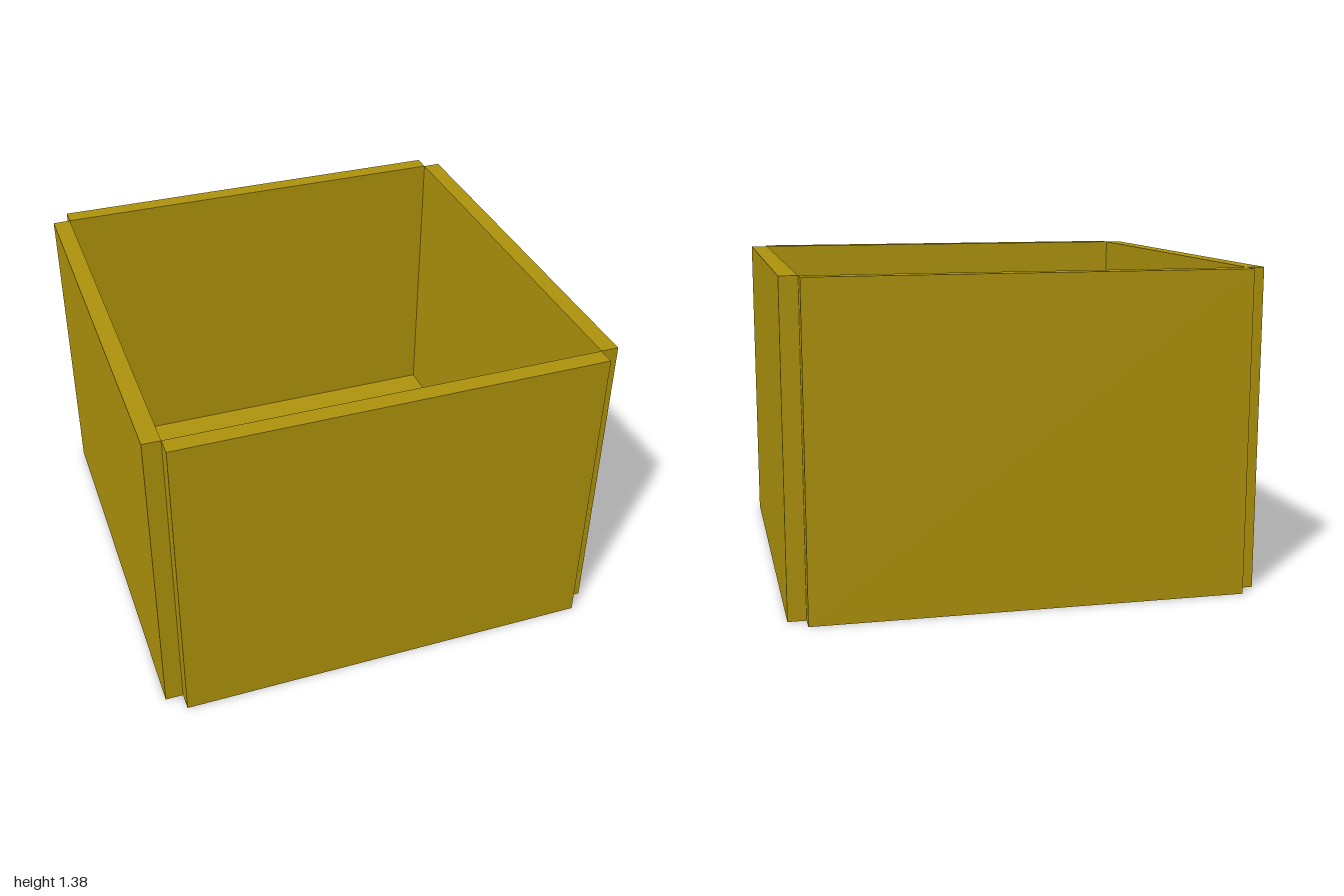
import * as THREE from 'three';

const T = 1 / 13;          // board thickness
const INNER = 2 - 2 * T;   // inside width, also the length of each wall
const HEIGHT = 18 * T;

export function createModel() {
  const model = new THREE.Group();
  model.name = 'openBox';
  const material = new THREE.MeshStandardMaterial({ color: 0xae930c, flatShading: true });

  // Floor panel set between the walls
  const floor = new THREE.Mesh(new THREE.BoxGeometry(INNER, T, INNER), material);
  floor.name = 'floor';
  floor.position.y = T / 2;
  model.add(floor);

  // Four equal walls around the floor, leaving a notch at each corner
  const wallGeometry = new THREE.BoxGeometry(INNER, HEIGHT, T);
  wallGeometry.translate(0, HEIGHT / 2, 1 - T / 2);
  ['frontWall', 'leftWall', 'backWall', 'rightWall'].forEach((name, i) => {
    const wall = new THREE.Mesh(wallGeometry, material);
    wall.name = name;
    wall.rotation.y = (i * Math.PI) / 2;
    model.add(wall);
  });

  return model;
}
